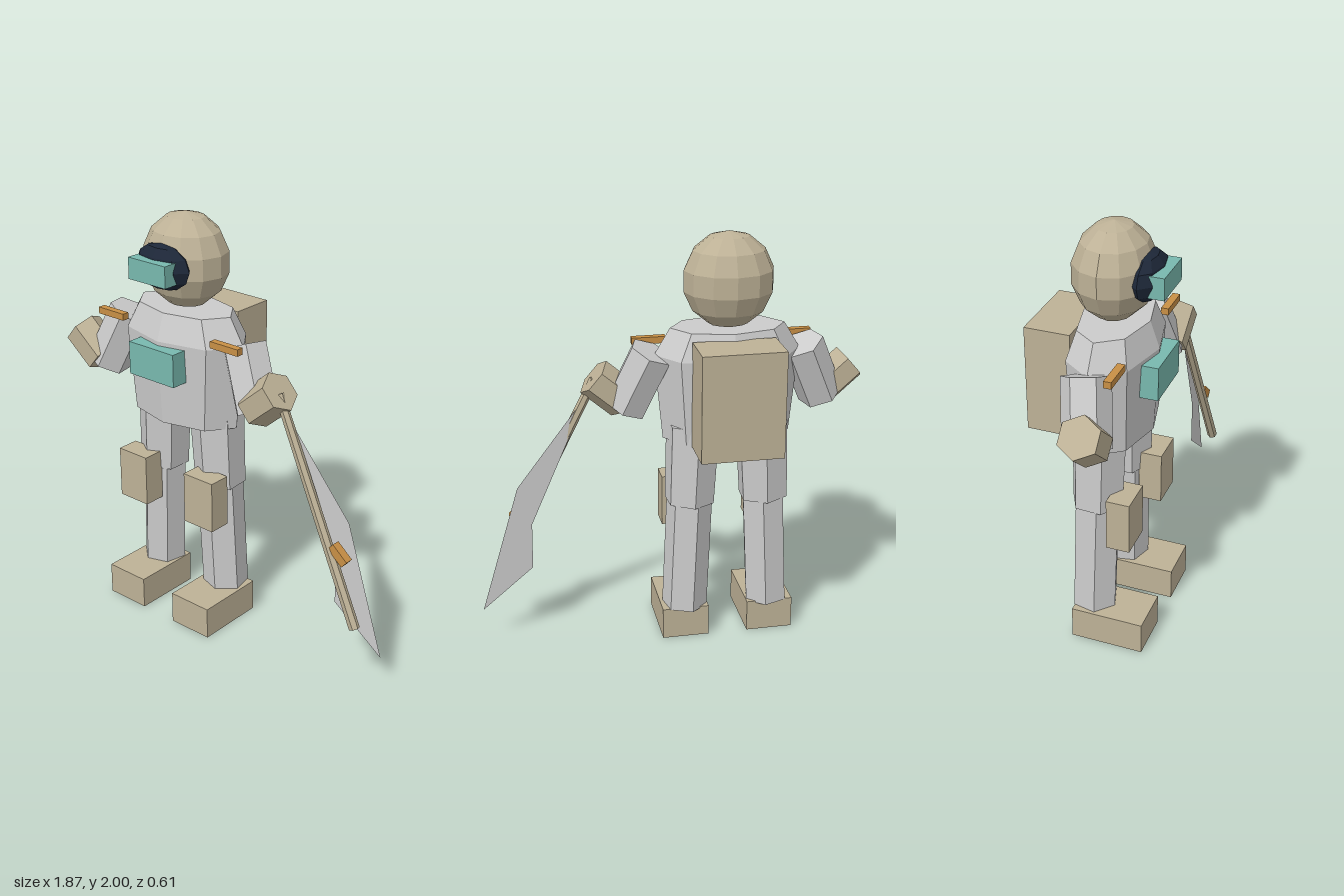
import * as THREE from 'three';

const mat = (color, extra = {}) => new THREE.MeshStandardMaterial({ color, flatShading: true, ...extra });
const V = (x, y, z) => new THREE.Vector3(x, y, z);

export function createModel() {
  const grey = mat(0xcccccc), tan = mat(0xbdb196), glass = mat(0x78b8ae);
  const dark = mat(0x1d2738), brass = mat(0xc88f45);
  const root = new THREE.Group();
  const body = new THREE.Group();
  body.name = 'suit';
  body.position.x = -0.257;
  root.add(body);

  const add = (parent, name, geometry, material) => {
    const mesh = new THREE.Mesh(geometry, material);
    mesh.name = name;
    parent.add(mesh);
    return mesh;
  };
  // box given by its lower and upper limits
  const box = (parent, name, material, [x0, x1], [y0, y1], [z0, z1]) => {
    const mesh = add(parent, name, new THREE.BoxGeometry(x1 - x0, y1 - y0, z1 - z0), material);
    mesh.position.set((x0 + x1) / 2, (y0 + y1) / 2, (z0 + z1) / 2);
    return mesh;
  };
  // six-sided limb from a to b, with two corners in the xy plane
  const limb = (parent, name, material, a, b, ra, rb = ra) => {
    const dir = b.clone().sub(a);
    const g = new THREE.CylinderGeometry(rb, ra, dir.length(), 6).rotateY(Math.PI / 6);
    const mesh = add(parent, name, g, material);
    mesh.position.copy(a).add(b).multiplyScalar(0.5);
    mesh.quaternion.setFromUnitVectors(V(0, 1, 0), dir.normalize());
    return mesh;
  };

  // helmet with visor
  const helmet = add(body, 'helmet', new THREE.SphereGeometry(0.223, 12, 7), tan);
  helmet.scale.set(0.96, 1, 0.83);
  helmet.position.set(0, 1.777, 0.042);
  const visor = add(body, 'visor', new THREE.SphereGeometry(1, 8, 6), dark);
  visor.scale.set(0.16, 0.107, 0.075);
  visor.position.set(0, 1.777, 0.197);
  box(body, 'visorGlass', glass, [-0.111, 0.111], [1.722, 1.823], [0.22, 0.302]);

  // eight-sided torso, flattened front to back
  const profile = [[0, 1.025], [0.305, 1.025], [0.345, 1.435], [0.27, 1.56], [0, 1.56]];
  const torso = add(body, 'torso',
    new THREE.LatheGeometry(profile.map(([r, y]) => new THREE.Vector2(r, y)), 8), grey);
  torso.scale.z = 0.57;
  torso.position.z = 0.05;
  box(body, 'chestPanel', glass, [-0.136, 0.136], [1.257, 1.415], [0.2, 0.29]);
  box(body, 'backpack', tan, [-0.193, 0.193], [1.025, 1.53], [-0.303, -0.09]);

  // paired parts
  for (const s of [-1, 1]) {
    const side = s > 0 ? 'left' : 'right';
    const span = (a, b) => (s > 0 ? [a, b] : [-b, -a]);
    limb(body, side + 'Arm', grey, V(s * 0.353, 1.45, 0.05), V(s * 0.473, 1.176, 0.1), 0.108);
    limb(body, side + 'Glove', tan, V(s * 0.475, 1.2, 0.12), V(s * 0.617, 1.322, 0.125), 0.096);
    box(body, side + 'ShoulderTab', brass, span(0.27, 0.43), [1.455, 1.487], [0.157, 0.192]);
    limb(body, side + 'Thigh', grey, V(s * 0.165, 1.1, 0.03), V(s * 0.182, 0.705, 0.025), 0.13, 0.122);
    limb(body, side + 'Shin', grey, V(s * 0.18, 0.74, 0.025), V(s * 0.206, 0.15, 0.015), 0.11);
    box(body, side + 'KneePad', tan, span(0.124, 0.299), [0.543, 0.795], [0.11, 0.22]);
    box(body, side + 'Boot', tan, span(0.097, 0.325), [0, 0.157], [-0.055, 0.29]);
  }

  // pole with a blade and binding, held in the left hand
  const weapon = new THREE.Group();
  weapon.name = 'glaive';
  root.add(weapon);
  limb(weapon, 'pole', tan, V(0.357, 1.31, 0.127), V(0.84, 0.33, 0.176), 0.022, 0.025);
  const outline = [[0.385, 1.245], [0.675, 0.6], [0.68, 0.37], [0.93, 0.17], [0.738, 0.795]];
  const blade = add(weapon, 'blade',
    new THREE.ShapeGeometry(new THREE.Shape(outline.map(([x, y]) => new THREE.Vector2(x, y)))),
    mat(0xcccccc, { side: THREE.DoubleSide }));
  const p = blade.geometry.attributes.position;
  for (let i = 0; i < p.count; i++) p.setZ(i, 0.127 - 0.065 * (p.getX(i) - 0.385));
  blade.geometry.computeVertexNormals();
  const binding = add(weapon, 'binding', new THREE.BoxGeometry(0.1, 0.043, 0.04), brass);
  binding.position.set(0.728, 0.657, 0.152);
  binding.rotation.z = -0.7;

  return root;
}
